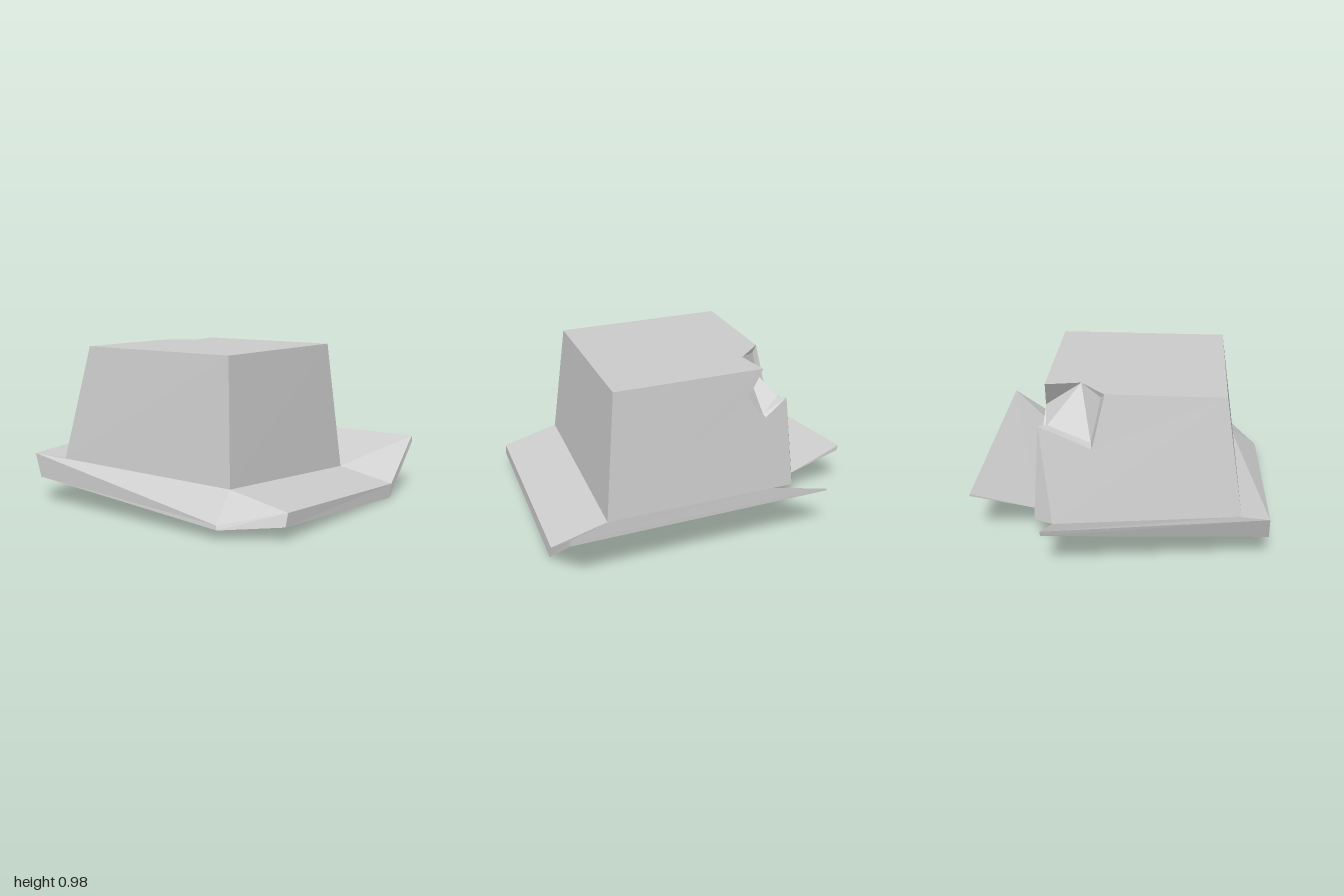
import * as THREE from 'three';

const V = (x, y, z) => new THREE.Vector3(x, y, z);

// Splits a flat, possibly concave loop into triangles that keep its facing
function triangulate(loop) {
  if (loop.length <= 4) return loop.slice(2).map((_, i) => [loop[0], loop[i + 1], loop[i + 2]]);
  const n = V(0, 0, 0);
  loop.forEach((p, i) => n.add(p.clone().cross(loop[(i + 1) % loop.length])));
  n.normalize();
  const u = V(n.z, n.x, n.y).cross(n).normalize();
  const w = n.clone().cross(u);
  const flat = loop.map(p => new THREE.Vector2(p.dot(u), p.dot(w)));
  return THREE.ShapeUtils.triangulateShape(flat, []).map(t => {
    const [a, b, c] = t.map(i => loop[i]);
    const facing = b.clone().sub(a).cross(c.clone().sub(a)).dot(n);
    return facing >= 0 ? [a, b, c] : [a, c, b];
  });
}

// One faceted mesh from a list of corner loops
function facets(name, loops, material) {
  const points = loops.flatMap(triangulate).flat();
  const geometry = new THREE.BufferGeometry().setFromPoints(points);
  geometry.computeVertexNormals();
  const mesh = new THREE.Mesh(geometry, material);
  mesh.name = name;
  return mesh;
}

export function createModel() {
  const hat = new THREE.Group();
  hat.name = 'batteredHat';
  const felt = new THREE.MeshStandardMaterial({ color: 0xcccccc, flatShading: true, side: THREE.DoubleSide });
  felt.name = 'greyFelt';

  // Crown base, tilted, with a clipped back corner
  const frontRight = V(-0.72, 0.24, 0.635), frontLeft = V(0.52, 0.16, 0.635);
  const backLeft = V(0.52, 0.16, -0.61), clip = V(0.4, 0.17, -0.67);
  const backRight = V(-0.74, 0.26, -0.66);

  // Crown top
  const topFR = V(-0.63, 0.975, 0.555), topFL = V(0.455, 0.975, 0.555), topBR = V(-0.63, 0.975, -0.53);

  // Outer edge of the torn corner
  const tearBack = V(0.085, 0.975, -0.53), tearTop = V(0.24, 0.975, -0.36), tearSide = V(0.455, 0.975, -0.4);
  const sideHigh = V(0.468, 0.8, -0.3), sideLow = V(0.48, 0.655, -0.42);
  const spike = V(0.482, 0.77, -0.555), backLow = V(0.16, 0.64, -0.585);

  // Inner edge of the torn corner
  const inBack = V(0.11, 0.94, -0.495), inLow = V(0.17, 0.66, -0.535);
  const inSpike = V(0.43, 0.76, -0.513), inSide = V(0.46, 0.67, -0.41);

  hat.add(facets('crown', [
    [frontRight, frontLeft, topFL, topFR],
    [backRight, frontRight, topFR, topBR],
    [frontLeft, backLeft, spike, sideLow, sideHigh, tearSide, topFL],
    [backLeft, clip, spike],
    [clip, backRight, topBR, tearBack, backLow, spike],
    [topFR, topFL, tearSide, tearTop, tearBack, topBR],
  ], felt));

  hat.add(facets('tornCorner', [
    [backLow, inLow, inSpike, spike],
    [tearBack, inBack, inLow, backLow],
    [spike, inSpike, inSide, sideLow],
    [sideLow, inSide, sideHigh],
    [tearBack, tearTop, inBack],
    [tearTop, inLow, inBack],
    [tearTop, inSpike, inLow],
    [tearTop, inSide, inSpike],
    [tearTop, sideHigh, inSide],
    [tearTop, tearSide, sideHigh],
  ], felt));

  hat.add(facets('crownBase', [[frontRight, backRight, clip, backLeft, frontLeft]], felt));

  // Brim stations around the crown: inner edge, upper rim, lower rim
  const brim = [
    [clip, V(0.42, 0.32, -1), V(0.42, 0.285, -0.99)],
    [backRight, V(-0.9, 0.305, -0.76), V(-0.905, 0.16, -0.71)],
    [frontRight, V(-0.91, 0.085, 0.68), V(-0.915, 0.06, 0.69)],
    [frontRight, V(-0.69, 0.16, 1), V(-0.715, 0.085, 1)],
    [frontLeft, V(0.55, 0.085, 0.995), V(0.52, 0, 1)],
    [frontLeft, V(0.905, 0.345, 0.96), V(0.905, 0.31, 0.965)],
    [V(0.52, 0.16, -0.475), V(0.905, 0.335, -0.63), V(0.905, 0.322, -0.63)],
  ];
  const upper = [], lower = [], rim = [];
  for (let i = 0; i < brim.length - 1; i++) {
    const [a, at, ab] = brim[i], [b, bt, bb] = brim[i + 1];
    upper.push(a === b ? [at, bt, b] : [at, bt, b, a]);
    lower.push(a === b ? [a, bb, ab] : [a, b, bb, ab]);
    rim.push([ab, bb, bt, at]);
  }
  // Close both ends of the split brim
  const first = brim[0], last = brim[brim.length - 1];
  rim.push([first[0], first[2], first[1]], [last[0], last[1], last[2]]);

  const brimGroup = new THREE.Group();
  brimGroup.name = 'brim';
  brimGroup.add(
    facets('brimTop', upper, felt),
    facets('brimUnderside', lower, felt),
    facets('brimRim', rim, felt),
  );
  hat.add(brimGroup);
  return hat;
}
